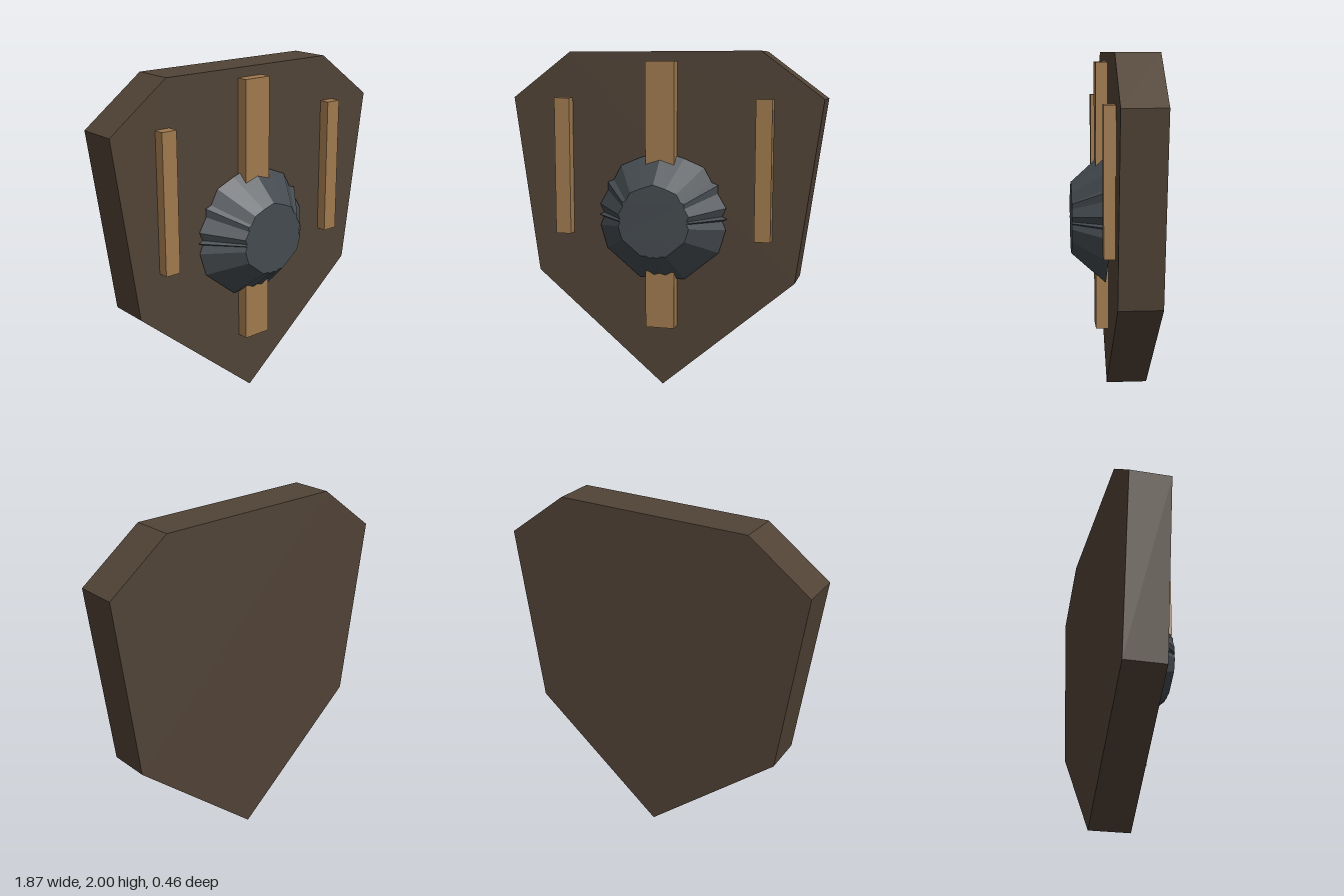
import * as THREE from 'three';

const mat = (name, color) => {
  const m = new THREE.MeshStandardMaterial({ color });
  m.name = name;
  return m;
};

// Closed outline from its right half, listed top to bottom
function mirroredShape(half) {
  const left = half.filter(([x]) => x > 0).reverse().map(([x, y]) => [-x, y]);
  return new THREE.Shape([...half, ...left].map(([x, y]) => new THREE.Vector2(x, y)));
}

const extrude = (half, depth) =>
  new THREE.ExtrudeGeometry(mirroredShape(half), { depth, bevelEnabled: false });

export function createModel() {
  const group = new THREE.Group();
  const wood = mat('dark wood', 0x514336);
  const trim = mat('light wood', 0x9f7a4e);
  const metal = mat('dark metal', 0x454b50);

  const add = (name, geometry, material, x, y, z) => {
    const mesh = new THREE.Mesh(geometry, material);
    mesh.name = name;
    mesh.position.set(x, y, z);
    group.add(mesh);
  };

  // Thick shield board
  const board = extrude([[0.575, 2], [0.937, 1.73], [0.79, 0.67], [0, 0]], 0.243);
  add('shieldBoard', board, wood, 0, 0, -0.228);

  // Raised vertical strips on the front
  const strip = (name, x, width, y0, y1, front) => {
    const back = 0.005;
    add(name, new THREE.BoxGeometry(width, y1 - y0, front - back), trim,
      x, (y0 + y1) / 2, (front + back) / 2);
  };
  strip('centreStrip', 0, 0.174, 0.37, 1.943, 0.085);
  strip('leftStrip', 0.607, 0.094, 0.915, 1.73, 0.078);
  strip('rightStrip', -0.607, 0.094, 0.915, 1.73, 0.078);

  // Ridged boss: a creased outline tapering towards its flat front
  const depth = 0.198;
  const boss = extrude([
    [0, 0.395], [0.135, 0.352], [0.252, 0.303], [0.3, 0.216], [0.338, 0.202],
    [0.336, 0.152], [0.386, 0.068], [0.362, 0.018], [0.392, 0.004], [0.364, -0.01],
    [0.385, -0.06], [0.343, -0.198], [0.137, -0.367], [0.078, -0.365],
    [0.04, -0.386], [0, -0.375],
  ], depth);
  const p = boss.attributes.position;
  for (let i = 0; i < p.count; i++) {
    const s = 1 - 0.455 * (p.getZ(i) / depth);
    p.setXY(i, p.getX(i) * s, p.getY(i) * s);
  }
  boss.computeVertexNormals();
  add('boss', boss, metal, 0, 1.03, 0.03);

  return group;
}
